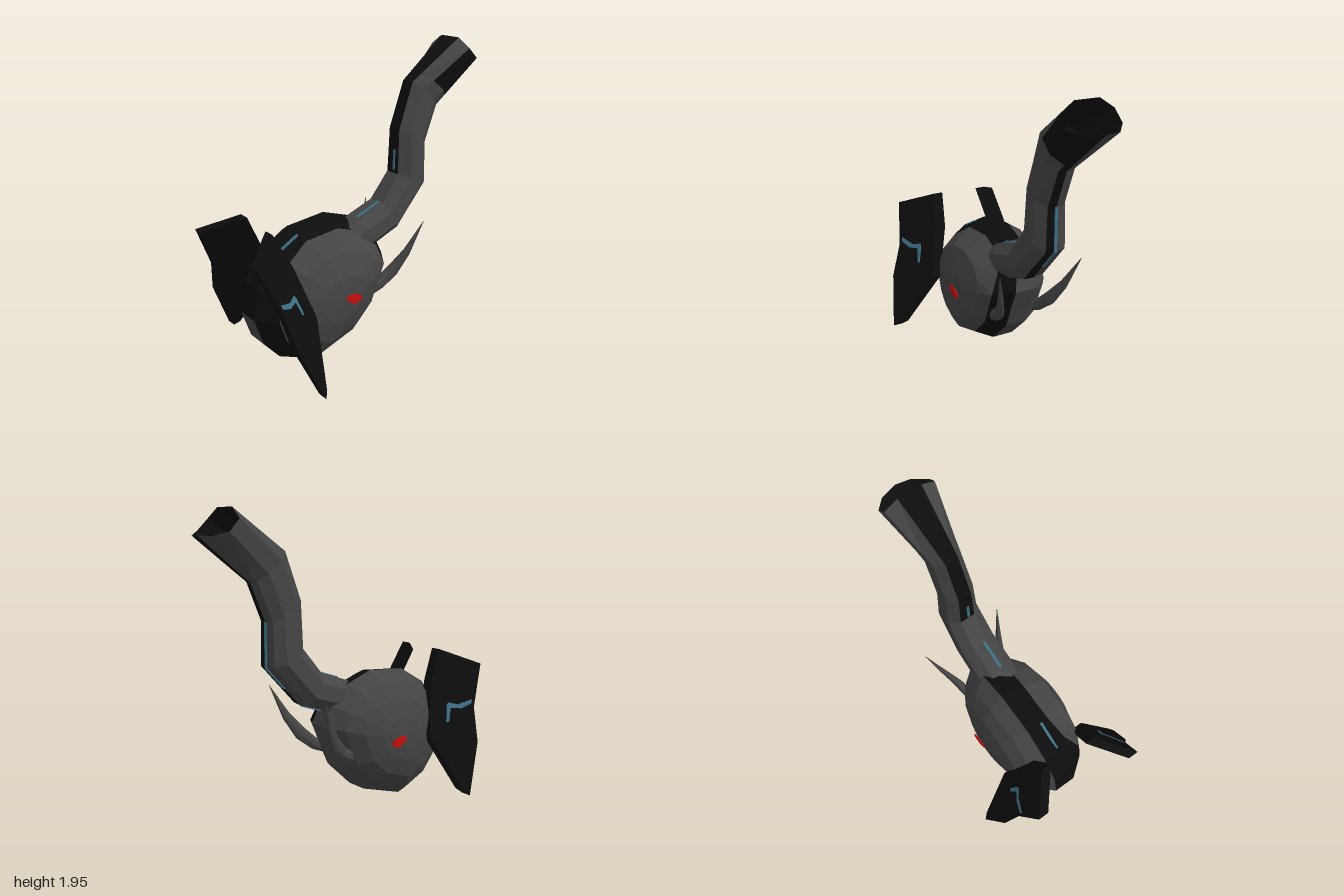
import * as THREE from 'three';

const mat = (name, color) => Object.assign(new THREE.MeshStandardMaterial({ color }), { name });

export function createModel() {
  const model = new THREE.Group();
  const grey = mat('hide grey', 0x444444);
  const black = mat('dark panel', 0x0d0d0d);
  const red = mat('eye red', 0xc80c0c);
  const blue = mat('crack blue', 0x3c6f86);

  // Faceted skin over closed rings; pick(i, j) chooses the colour of each facet
  function loft(name, rings, pick) {
    const lists = new Map();
    const n = rings[0].length;
    for (let i = 0; i < rings.length - 1; i++) {
      for (let j = 0; j < n; j++) {
        const k = (j + 1) % n, m = pick(i, j);
        const [a, b, c, d] = [rings[i][j], rings[i][k], rings[i + 1][k], rings[i + 1][j]];
        if (!lists.has(m)) lists.set(m, []);
        lists.get(m).push(...a, ...b, ...c, ...a, ...c, ...d);
      }
    }
    const group = new THREE.Group();
    group.name = name;
    for (const [m, pos] of lists) {
      const g = new THREE.BufferGeometry();
      g.setAttribute('position', new THREE.Float32BufferAttribute(pos, 3));
      g.computeVertexNormals();
      const mesh = new THREE.Mesh(g, m);
      mesh.name = name + ' ' + m.name;
      group.add(mesh);
    }
    model.add(group);
  }

  // Flat polygon in x/y with a thickness, laid on a surface z = f(x, y)
  function slab(name, pts, depth, f, m, side) {
    const shape = new THREE.Shape(pts.map(p => new THREE.Vector2(p[0], p[1])));
    const g = new THREE.ExtrudeGeometry(shape, { depth, bevelEnabled: false });
    const p = g.attributes.position;
    for (let i = 0; i < p.count; i++) p.setZ(i, p.getZ(i) + f(p.getX(i), p.getY(i)));
    g.computeVertexNormals();
    const mesh = new THREE.Mesh(g, m);
    mesh.name = name;
    mesh.scale.z = side;
    model.add(mesh);
    return mesh;
  }

  // Head: the side outline shrinks towards an eye point on each side
  const outline = [[0.17, 0.58], [0.13, 0.72], [0, 0.84], [-0.2, 0.91], [-0.48, 0.885], [-0.68, 0.77],
    [-0.8, 0.6], [-0.84, 0.4], [-0.78, 0.22], [-0.67, 0.09], [-0.47, 0], [-0.15, 0.1], [0.04, 0.28], [0.09, 0.4]];
  const [cx, cy] = [-0.3, 0.47];
  // each level: z and scale, then z and scale along the crown
  const levels = [[-0.33, 0.001, -0.33, 0.001], [-0.31, 0.33, -0.31, 0.33], [-0.27, 0.62, -0.27, 0.62],
    [-0.2, 0.84, -0.2, 0.85], [-0.1, 1, -0.1, 1], [0.05, 1, -0.02, 0.97], [0.18, 0.82, 0.07, 0.87],
    [0.24, 0.62, 0.22, 0.66], [0.28, 0.33, 0.28, 0.33], [0.295, 0.001, 0.295, 0.001]];
  const headRings = levels.map(([z, s, zt, st]) => outline.map(([x, y]) => {
    const t = THREE.MathUtils.clamp((y - 0.6) / 0.25, 0, 1);
    const k = THREE.MathUtils.lerp(s, st, t);
    return [cx + (x - cx) * k, cy + (y - cy) * k, THREE.MathUtils.lerp(z, zt, t)];
  }));
  loft('head', headRings, (i, j) => (i === 5 || (i === 4 && j > 0 && j < 7)) ? black : grey);

  // Tube section: upper and lower x/y, centre z, half width, set-back of the sides
  const angles = [-25, 25, 65, 110, 150, 180, 215, 250, 295].map(THREE.MathUtils.degToRad);
  const section = ([ux, uy, lx, ly, z, w, back = 0]) => angles.map(a => {
    const c = THREE.MathUtils.clamp(Math.cos(a) * 1.1, -1, 1), s = Math.sin(a);
    return [(ux + lx) / 2 + (ux - lx) / 2 * c - back * s * s,
      (uy + ly) / 2 + (uy - ly) / 2 * c - back * 0.55 * s * s, z + w * s];
  });

  // Trunk, raised forward, flaring into a hollow tip
  const trunk = [
    [-0.16, 0.8, -0.02, 0.62, 0, 0.13], [-0.03, 0.86, 0.07, 0.65, 0, 0.14], [0.17, 0.93, 0.3, 0.73, 0, 0.135],
    [0.31, 1.1, 0.55, 1.0, 0, 0.125], [0.32, 1.4, 0.55, 1.28, 0, 0.11], [0.43, 1.7, 0.65, 1.52, 0, 0.105],
    [0.5, 1.747, 0.72, 1.577, 0, 0.12], [0.82, 1.96, 0.99, 1.8, -0.005, 0.19, 0.055],
    [0.6, 1.76, 0.72, 1.63, 0, 0.08], [0.65, 1.7, 0.651, 1.699, 0, 0.001]];
  loft('trunk', trunk.map(section), (i, j) => {
    if (i >= 7) return black;
    if (j === 0 && i >= 3) return black;
    if (j === 4 && i >= 1) return black;
    return i === 6 && (j === 2 || j === 3) ? black : grey;
  });

  // Tusks
  for (const [name, side, zs] of [['right side tusk', -1, [0.15, 0.18, 0.21, 0.26, 0.33]],
    ['left side tusk', 1, [0.12, 0.14, 0.17, 0.21, 0.265]]]) {
    const path = [[-0.04, 0.4, 0, 0.33, 0.04], [0.08, 0.45, 0.1, 0.37, 0.035], [0.16, 0.53, 0.2, 0.45, 0.028],
      [0.24, 0.63, 0.28, 0.59, 0.018], [0.352, 0.82, 0.354, 0.819, 0.002]];
    loft(name, path.map(([a, b, c, d, w], i) => section([a, b, c, d, side * zs[i], w])), () => grey);
  }

  // Ears: slanted slabs swept back and out, with jagged painted cracks
  const earPlane = (x, y) => 0.38 - (0.49 * (x + 1) + 0.37 * (y - 0.9)) / 0.79;
  const earShape = [[-1, 0.9], [-0.88, 0.62], [-0.84, 0.4], [-0.7, 0.07], [-0.67, 0.1], [-0.57, 0.45], [-0.67, 0.78], [-0.78, 1]];
  const crack = [[-0.88, 0.67], [-0.87, 0.645], [-0.8, 0.615], [-0.74, 0.62], [-0.705, 0.53], [-0.69, 0.53],
    [-0.72, 0.63], [-0.735, 0.655], [-0.79, 0.64]];
  for (const side of [-1, 1]) {
    const parts = [
      slab('ear', earShape, 0.07, (x, y) => earPlane(x, y) - 0.07, black, side),
      slab('earCrack', crack, 0.006, (x, y) => earPlane(x, y) - 0.002, blue, side)];
    if (side < 0) parts.forEach(p => { p.position.x = 0.03; });
    // Eye
    const eye = [[-0.32, 0.47], [-0.26, 0.425], [-0.2, 0.44], [-0.2, 0.465], [-0.24, 0.49], [-0.31, 0.495]];
    slab('eye', eye, 0.009, () => (side > 0 ? 0.291 : 0.325), red, side);
  }

  // Thin painted cracks along the trunk and crown
  const cracks = [[[0.551, 1.0, 0], [0.551, 1.28, 0]], [[0.42, 0.857, 0], [0.551, 1.0, 0]],
    [[0.311, 1.12, 0.01], [0.316, 1.26, 0.01]], [[-0.02, 0.866, 0.03], [0.17, 0.932, 0.02]],
    [[0.12, 0.664, 0], [0.29, 0.724, 0]], [[-0.66, 0.762, 0], [-0.48, 0.859, 0.02]]];
  for (const [a, b] of cracks) {
    const [p, q] = [new THREE.Vector3(...a), new THREE.Vector3(...b)];
    const mesh = new THREE.Mesh(new THREE.BoxGeometry(0.009, p.distanceTo(q), 0.018), blue);
    mesh.position.copy(p).add(q).multiplyScalar(0.5);
    mesh.rotation.z = Math.atan2(q.y - p.y, q.x - p.x) - Math.PI / 2;
    mesh.name = 'crack';
    model.add(mesh);
  }
  return model;
}
